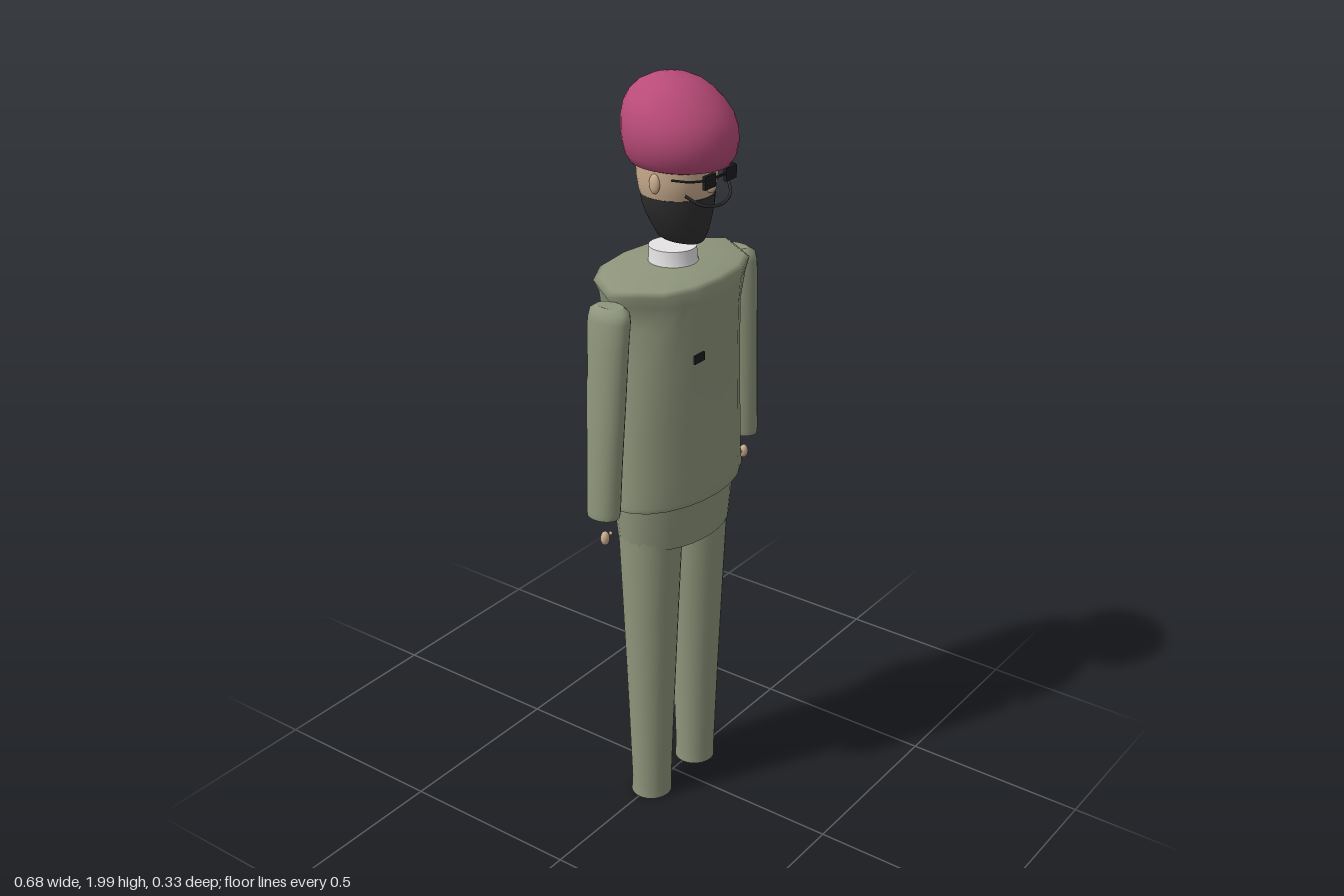
import * as THREE from 'three';

const mat = (name, color, side = THREE.FrontSide) => {
  const m = new THREE.MeshStandardMaterial({ color, side });
  m.name = name;
  return m;
};

// Half outline of the angular shoulders, from front (+z) to back (-z), as [x, z] on a unit ring
const SHOULDER = [[0, 1], [0.39, 0.94], [0.71, 0.72], [1, 0], [0.71, -0.63], [0.38, -0.92], [0, -1]];

function outline(t, angular) {
  const a = t * Math.PI * 2;
  const round = [Math.sin(a), Math.cos(a)];
  const u = (t <= 0.5 ? t : 1 - t) * 12;
  const i = Math.min(5, Math.floor(u));
  const f = u - i;
  const s = t <= 0.5 ? 1 : -1;
  const poly = [0, 1].map(k => SHOULDER[i][k] * (1 - f) + SHOULDER[i + 1][k] * f);
  return [round[0] * (1 - angular) + s * poly[0] * angular, round[1] * (1 - angular) + poly[1] * angular];
}

// Skin over horizontal rings, bottom to top: [y, half width, front z, back z, centre x, angularity]
function loft(rings, n = 24) {
  const pos = [], idx = [];
  const addRing = ([y, rx, zf, zb, cx = 0, angular = 0]) => {
    for (let i = 0; i < n; i++) {
      const [x, z] = outline(i / n, angular);
      pos.push(cx + x * rx, y, (zf + zb) / 2 + z * (zf - zb) / 2);
    }
  };
  rings.forEach(addRing);
  for (let r = 0; r < rings.length - 1; r++) {
    for (let i = 0; i < n; i++) {
      const j = (i + 1) % n, a = r * n, b = a + n;
      idx.push(a + i, a + j, b + j, a + i, b + j, b + i);
    }
  }
  // Flat end caps with their own vertices, so the rims stay crisp
  [rings[0], rings[rings.length - 1]].forEach((ring, top) => {
    const start = pos.length / 3;
    addRing(ring);
    pos.push(ring[4] || 0, ring[0], (ring[2] + ring[3]) / 2);
    for (let i = 0; i < n; i++) {
      const p = start + i, q = start + (i + 1) % n;
      idx.push(start + n, top ? p : q, top ? q : p);
    }
  });
  const g = new THREE.BufferGeometry();
  g.setAttribute('position', new THREE.Float32BufferAttribute(pos, 3));
  g.setIndex(idx);
  g.computeVertexNormals();
  return g;
}

export function createModel() {
  const model = new THREE.Group();
  model.name = 'figure';
  const cloth = mat('olive cloth', 0x8f967c);
  const berry = mat('berry hat', 0xb94b78);
  const skin = mat('skin', 0xcbae90);
  const hair = mat('dark beard', 0x303030);
  const black = mat('black', 0x1e1e20);
  const white = mat('white shirt', 0xe6e4e4);

  const add = (name, geometry, material, x = 0, y = 0, z = 0) => {
    const m = new THREE.Mesh(geometry, material);
    m.name = name;
    m.position.set(x, y, z);
    model.add(m);
    return m;
  };
  const tube = (points, r) => new THREE.TubeGeometry(
    new THREE.CatmullRomCurve3(points.map(p => new THREE.Vector3(...p))), 20, r, 6);

  // Rounded hat, bulging forward
  add('hat', loft([
    [1.785, 0.095, 0.125, -0.09], [1.793, 0.115, 0.15, -0.105], [1.815, 0.13, 0.161, -0.114],
    [1.845, 0.139, 0.165, -0.119], [1.875, 0.141, 0.161, -0.122], [1.905, 0.136, 0.149, -0.122],
    [1.935, 0.123, 0.126, -0.117], [1.96, 0.104, 0.1, -0.104], [1.98, 0.08, 0.071, -0.083],
    [1.993, 0.05, 0.04, -0.055], [2, 0.015, 0.005, -0.02],
  ], 36), berry);

  // Head and the beard that wraps it
  add('head', loft([
    [1.66, 0.07, 0.09, -0.06], [1.7, 0.085, 0.1, -0.075], [1.73, 0.095, 0.109, -0.082],
    [1.76, 0.1, 0.113, -0.086], [1.8, 0.1, 0.113, -0.088],
  ], 32), skin);
  add('beard', loft([
    [1.593, 0.03, 0.08, -0.03], [1.6, 0.04, 0.09, -0.04], [1.625, 0.056, 0.099, -0.052],
    [1.66, 0.075, 0.104, -0.066], [1.69, 0.086, 0.107, -0.075], [1.715, 0.091, 0.108, -0.078],
  ], 32), hair);
  add('moustache', tube([[-0.088, 1.74, 0.1], [-0.06, 1.715, 0.128], [0, 1.704, 0.142],
    [0.06, 1.715, 0.128], [0.088, 1.74, 0.1]], 0.004), hair);
  add('nose', new THREE.SphereGeometry(0.014, 16, 12).scale(0.8, 1.3, 1), skin, 0, 1.745, 0.113);

  // Spectacles
  add('bridge', new THREE.BoxGeometry(0.045, 0.005, 0.005), black, 0, 1.775, 0.14);
  for (const s of [1, -1]) {
    add('lens', new THREE.BoxGeometry(0.043, 0.033, 0.009), black, s * 0.043, 1.771, 0.138);
    add('glassesArm', tube([[s * 0.063, 1.777, 0.138], [s * 0.09, 1.777, 0.115], [s * 0.1, 1.775, 0.07]], 0.003), black);
    add('ear', new THREE.SphereGeometry(0.025, 16, 12).scale(0.35, 1, 0.6), skin, s * 0.1, 1.757, 0.02);
  }

  // Shirt collar
  add('collar', loft([
    [1.52, 0.068, 0.072, -0.062], [1.542, 0.062, 0.062, -0.06], [1.574, 0.06, 0.06, -0.06],
  ]), white);

  // Jacket with flared hem and angular shoulders
  add('jacket', loft([
    [0.932, 0.23, 0.145, -0.143], [0.945, 0.231, 0.148, -0.143], [1, 0.223, 0.146, -0.137],
    [1.15, 0.219, 0.144, -0.138], [1.3, 0.213, 0.146, -0.148, 0, 0.2],
    [1.42, 0.213, 0.149, -0.157, 0, 0.6], [1.48, 0.228, 0.151, -0.163, 0, 1],
    [1.512, 0.255, 0.15, -0.165, 0, 1], [1.522, 0.236, 0.138, -0.15, 0, 1],
    [1.53, 0.15, 0.1, -0.105, 0, 0.6], [1.536, 0.07, 0.07, -0.065],
  ]), cloth);
  add('badge', new THREE.BoxGeometry(0.04, 0.022, 0.006), black, -0.103, 1.346, 0.155);

  // Hips
  add('hips', loft([[0.805, 0.183, 0.124, -0.116], [0.87, 0.192, 0.128, -0.12], [0.95, 0.2, 0.13, -0.124]], 32), cloth);

  for (const s of [1, -1]) {
    // Trouser leg
    add('leg', loft([
      [0.008, 0.056, 0.058, -0.052, s * 0.102], [0.05, 0.054, 0.058, -0.05, s * 0.102],
      [0.3, 0.063, 0.066, -0.058, s * 0.102], [0.6, 0.074, 0.078, -0.07, s * 0.102],
      [0.83, 0.083, 0.088, -0.08, s * 0.102],
    ], 32), cloth);
    // Sleeve, leaning outwards
    add('sleeve', loft([
      [0.955, 0.034, 0.054, -0.034, s * 0.303], [0.97, 0.036, 0.056, -0.036, s * 0.302],
      [1.1, 0.037, 0.058, -0.039, s * 0.294], [1.25, 0.037, 0.062, -0.044, s * 0.283],
      [1.4, 0.037, 0.066, -0.048, s * 0.273], [1.465, 0.037, 0.068, -0.05, s * 0.267],
      [1.487, 0.034, 0.064, -0.046, s * 0.264], [1.498, 0.022, 0.046, -0.03, s * 0.26],
    ]), cloth);
    // Small floating hand with thumb
    add('hand', new THREE.SphereGeometry(0.019, 16, 12).scale(0.65, 1, 0.6), skin, s * 0.306, 0.893, 0.016);
    add('thumb', new THREE.SphereGeometry(0.005, 10, 8), skin, s * 0.286, 0.899, 0.018);
  }
  return model;
}
